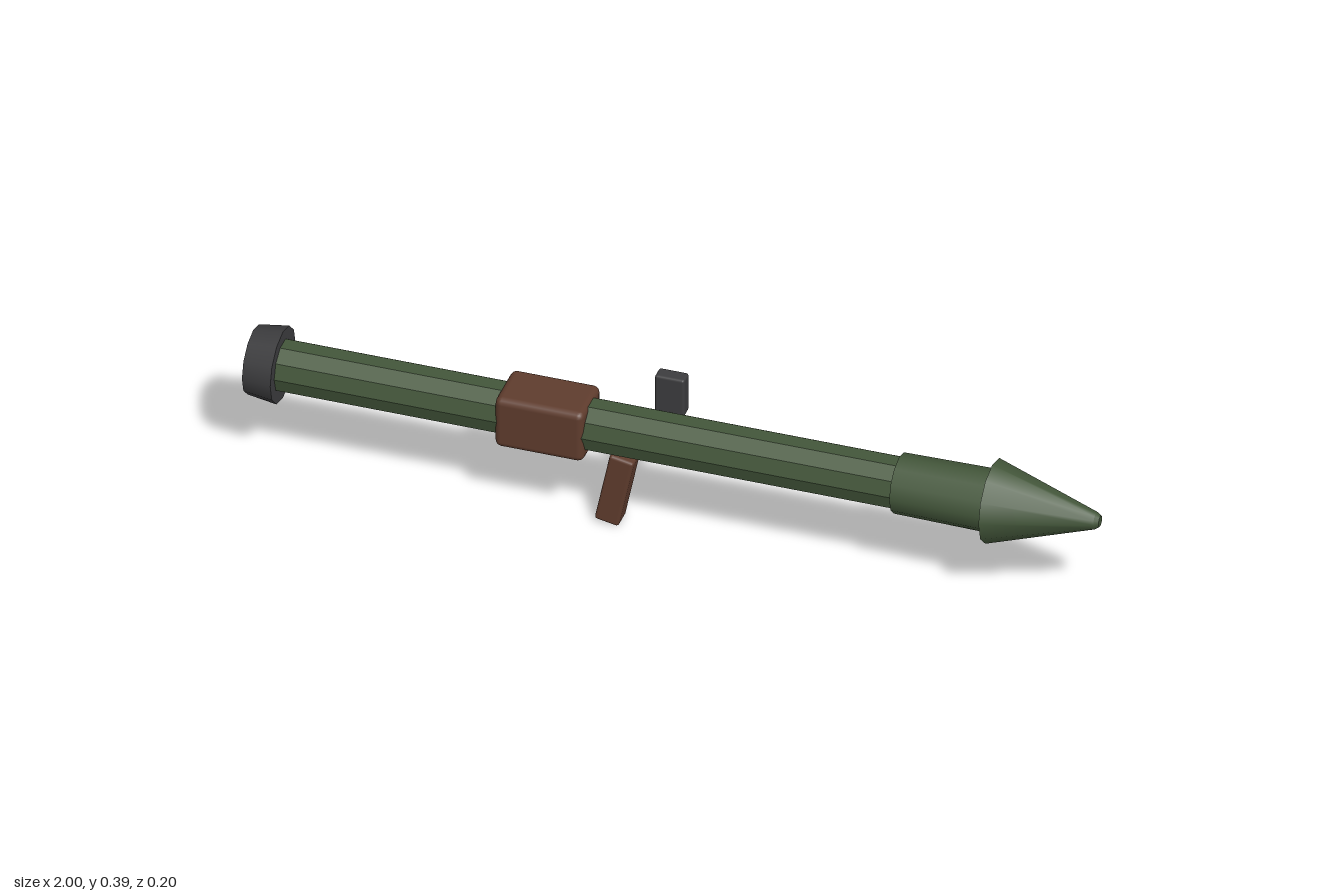
import * as THREE from 'three';
import { RoundedBoxGeometry } from 'three/addons/geometries/RoundedBoxGeometry.js';

const AXIS_Y = 0.25; // height of the launcher's centre line

const material = (name, color) => {
  const m = new THREE.MeshStandardMaterial({ color });
  m.name = name;
  return m;
};

export function createModel() {
  const group = new THREE.Group();
  const green = material('olive green', 0x43563a);
  const wood = material('brown wood', 0x5f3c2d);
  const dark = material('dark metal', 0x3c3c3e);
  const greenFlat = green.clone();
  greenFlat.flatShading = true;

  const add = (name, geometry, mat, x, y, z) => {
    const mesh = new THREE.Mesh(geometry, mat);
    mesh.name = name;
    mesh.position.set(x, y, z);
    group.add(mesh);
    return mesh;
  };

  // Round section lying along x, from x0 (radius r0) to x1 (radius r1)
  const section = (name, mat, x0, x1, r0, r1, sides) => {
    const geometry = new THREE.CylinderGeometry(r1, r0, x1 - x0, sides);
    geometry.rotateZ(-Math.PI / 2);
    return add(name, geometry, mat, (x0 + x1) / 2, AXIS_Y, 0);
  };

  // Box with softened edges
  const block = (name, mat, size, radius, x, y, z) =>
    add(name, new RoundedBoxGeometry(...size, 2, radius), mat, x, y, z);

  // Launch tube and rear cap
  section('tube', greenFlat, -0.98, 0.55, 0.062, 0.062, 10);
  section('rearCap', dark, -1, -0.93, 0.08, 0.09, 12);

  // Warhead: collar, cone and blunt tip
  section('warheadCollar', green, 0.525, 0.75, 0.07, 0.073, 12);
  section('warheadCone', green, 0.745, 0.99, 0.098, 0.02, 12);
  section('warheadTip', green, 0.99, 1, 0.02, 0.013, 12);

  // Wooden heat guard and slanted grip
  block('heatGuard', wood, [0.21, 0.132, 0.132], 0.016, -0.305, AXIS_Y, 0);
  const grip = block('grip', wood, [0.058, 0.183, 0.055], 0.007, -0.14, 0.097, 0);
  grip.rotation.z = -0.2;

  // Sight on the far side of the tube
  block('sight', dark, [0.07, 0.1, 0.036], 0.006, -0.03, 0.338, -0.055);

  return group;
}
